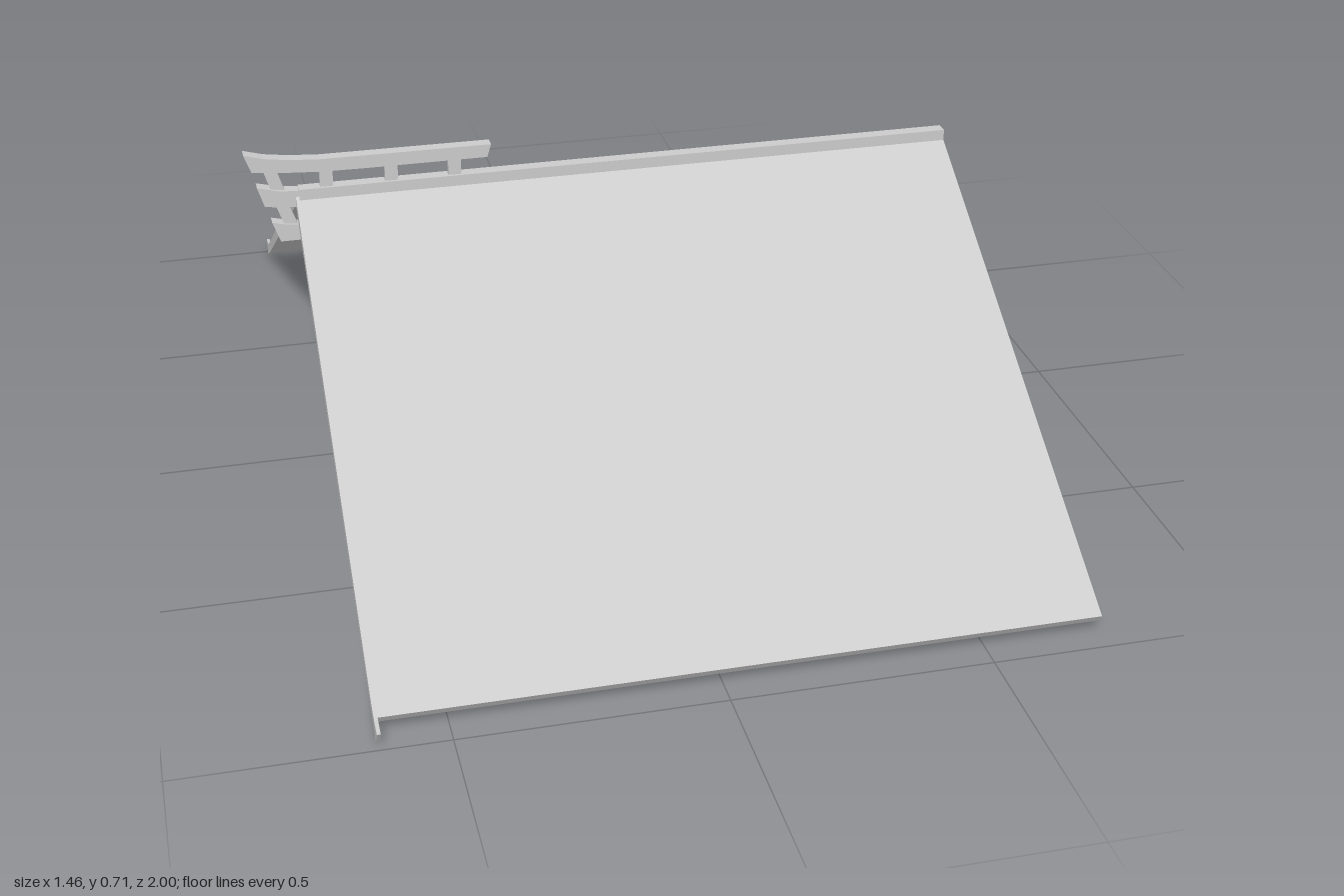
import * as THREE from 'three';

const material = new THREE.MeshStandardMaterial({ color: 0xcccccc, flatShading: true });

// Extrude an outline to a given depth, centred on its own plane
function plate(name, points, depth) {
  const shape = new THREE.Shape(points.map(([a, b]) => new THREE.Vector2(a, b)));
  const geometry = new THREE.ExtrudeGeometry(shape, { depth, bevelEnabled: false });
  geometry.translate(0, 0, -depth / 2);
  const mesh = new THREE.Mesh(geometry, material);
  mesh.name = name;
  return mesh;
}

// Same, with the outline given as (z, y) and the depth running along x
function crossPlate(name, points, x0, x1) {
  const mesh = plate(name, points.map(([z, y]) => [-z, y]), x1 - x0);
  mesh.rotation.y = Math.PI / 2;
  mesh.position.x = (x0 + x1) / 2;
  return mesh;
}

function mirrored(half) {
  return [...half, ...half.slice().reverse().filter(([z]) => z > 0).map(([z, y]) => [-z, y])];
}

export function createModel() {
  const model = new THREE.Group();
  const left = -0.626, right = 0.726;

  // Two sloping roof panels
  for (const s of [1, -1]) {
    const outline = [[0, 0.607], [0.957, 0.037], [0.947, 0.021], [0, 0.585]];
    model.add(crossPlate(s > 0 ? 'frontRoofPanel' : 'backRoofPanel',
      outline.map(([z, y]) => [s * z, y]), left, right));
  }

  // Ridge cap along the top
  model.add(crossPlate('ridgeCap',
    [[-0.013, 0.592], [0.013, 0.592], [0.013, 0.622], [-0.013, 0.622]], left, right));

  // Gable board with flared feet
  const top = [[0, 0.615], [0.93, 0.054], [0.965, 0.039], [1, 0.034]];
  const bottom = [[0.978, 0], [0.955, 0.016], [0.92, 0.035], [0, 0.584]];
  model.add(crossPlate('gableBoard', mirrored([...top, ...bottom]), -0.633, left));

  // Stacked ornament over the gable end
  const ornament = new THREE.Group();
  ornament.name = 'ridgeOrnament';
  ornament.add(plate('upperBeam', [
    [-0.73, 0.706], [-0.716, 0.668], [-0.66, 0.662], [-0.58, 0.657], [-0.5, 0.656], [-0.246, 0.656],
    [-0.238, 0.683], [-0.58, 0.684], [-0.64, 0.688], [-0.69, 0.695],
  ], 0.025));
  ornament.add(plate('middleBeam', [
    [-0.708, 0.634], [-0.695, 0.592], [-0.66, 0.587], [-0.62, 0.585], [-0.62, 0.619], [-0.665, 0.623],
  ], 0.025));
  ornament.add(plate('lowerBeam', [
    [-0.683, 0.556], [-0.668, 0.513], [-0.625, 0.513], [-0.625, 0.546], [-0.655, 0.549],
  ], 0.025));

  // Upright and leaning struts between the beams
  for (const x of [-0.57, -0.44, -0.312]) {
    const strut = new THREE.Mesh(new THREE.BoxGeometry(0.026, 0.04, 0.014), material);
    strut.position.set(x, 0.638, 0);
    strut.name = 'strut';
    ornament.add(strut);
  }
  ornament.add(plate('upperLeaningStrut',
    [[-0.694, 0.668], [-0.68, 0.622], [-0.654, 0.622], [-0.668, 0.668]], 0.014));
  ornament.add(plate('lowerLeaningStrut',
    [[-0.674, 0.592], [-0.658, 0.546], [-0.632, 0.546], [-0.648, 0.592]], 0.014));
  model.add(ornament);

  return model;
}
